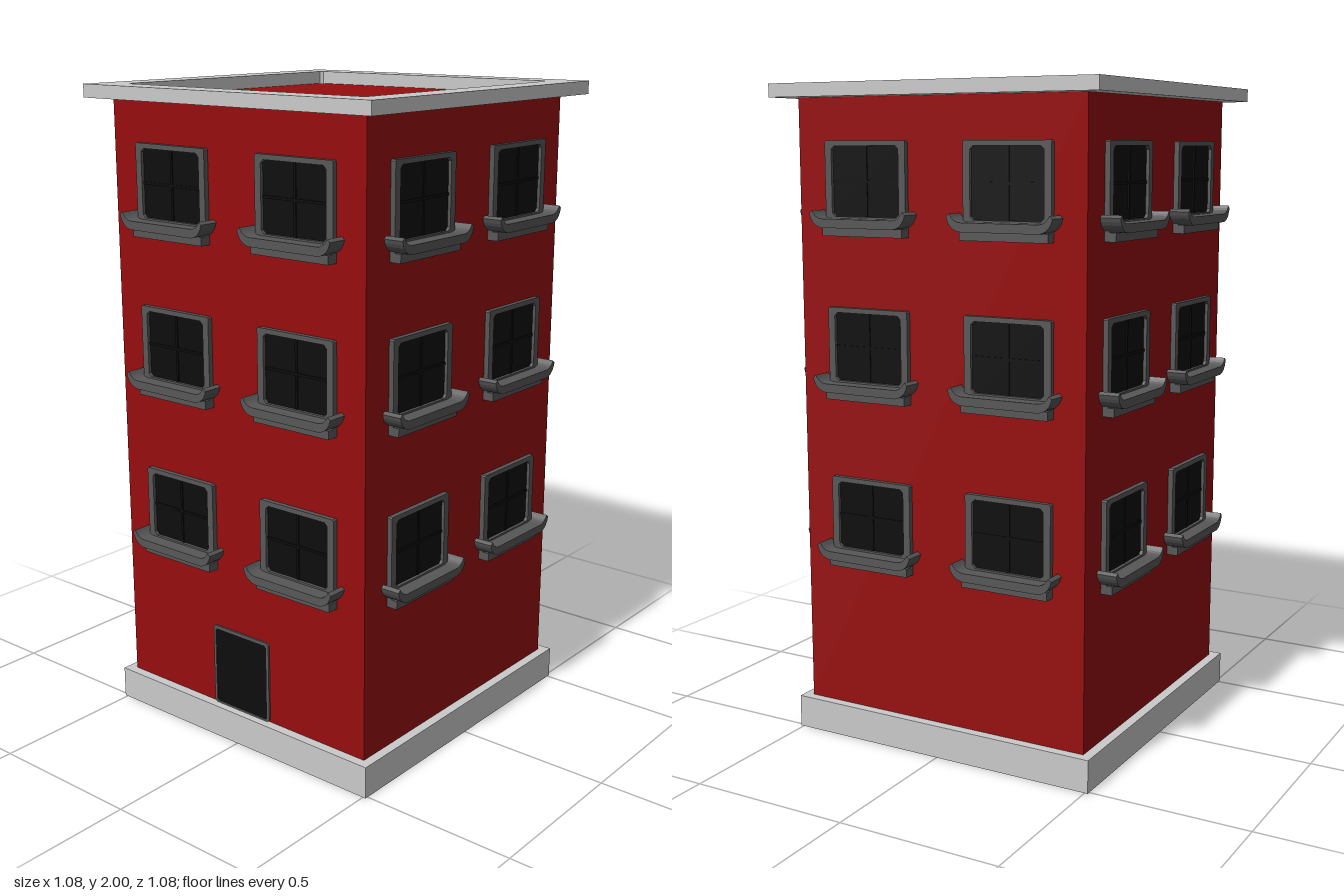
import * as THREE from 'three';

const mat = (name, color) => {
  const m = new THREE.MeshStandardMaterial({ color });
  m.name = name;
  return m;
};

// Rectangle outline with clipped corners, centred on (0, cy)
function clippedRect(Type, w, h, c, cy = 0) {
  const x = w / 2, t = cy + h / 2, b = cy - h / 2;
  return new Type([
    [-x + c, b], [x - c, b], [x, b + c], [x, t - c],
    [x - c, t], [-x + c, t], [-x, t - c], [-x, b + c],
  ].map(([px, py]) => new THREE.Vector2(px, py)));
}

const extrude = (shape, depth) =>
  new THREE.ExtrudeGeometry(shape, { depth, bevelEnabled: false, curveSegments: 6 });

export function createModel() {
  const brick = mat('brick red', 0x960d0e);
  const stone = mat('pale stone', 0xcacaca);
  const trim = mat('dark grey trim', 0x575757);
  const glass = mat('black glass', 0x0d0d0d);

  const model = new THREE.Group();
  model.name = 'apartmentBlock';

  const add = (parent, name, geometry, material, x = 0, y = 0, z = 0) => {
    const mesh = new THREE.Mesh(geometry, material);
    mesh.name = name;
    mesh.position.set(x, y, z);
    parent.add(mesh);
    return mesh;
  };
  const box = (w, h, d) => new THREE.BoxGeometry(w, h, d);

  // Plinth and walls; the top of the walls is the flat roof
  add(model, 'plinth', box(1.02, 0.1, 1.02), stone, 0, 0.05);
  add(model, 'walls', box(0.96, 1.86, 0.96), brick, 0, 1.03);

  // Overhanging parapet ring around the roof
  const ring = clippedRect(THREE.Shape, 1.084, 1.084, 0);
  ring.holes.push(clippedRect(THREE.Path, 0.904, 0.904, 0.008));
  add(model, 'parapet', extrude(ring, 0.04).rotateX(-Math.PI / 2), stone, 0, 1.96);

  // Window frame, origin at the centre of the opening on the wall face
  const frame = clippedRect(THREE.Shape, 0.281, 0.255, 0.004, -0.01);
  frame.holes.push(clippedRect(THREE.Path, 0.235, 0.205, 0.01));
  const frameGeo = extrude(frame, 0.016);

  // Sill with upturned ends
  const sill = new THREE.Shape();
  sill.moveTo(-0.125, -0.134);
  sill.lineTo(0.125, -0.134);
  sill.quadraticCurveTo(0.16, -0.128, 0.168, -0.092);
  sill.lineTo(0.158, -0.084);
  sill.quadraticCurveTo(0.146, -0.108, 0.12, -0.108);
  sill.lineTo(-0.12, -0.108);
  sill.quadraticCurveTo(-0.146, -0.108, -0.158, -0.084);
  sill.lineTo(-0.168, -0.092);
  sill.quadraticCurveTo(-0.16, -0.128, -0.125, -0.134);
  const sillGeo = extrude(sill, 0.062);

  const paneGeo = box(0.25, 0.22, 0.006);
  const ledgeGeo = box(0.281, 0.026, 0.036);
  const mullionGeo = box(0.008, 0.205, 0.004);
  const transomGeo = box(0.235, 0.008, 0.004);

  function makeWindow() {
    const g = new THREE.Group();
    g.name = 'window';
    add(g, 'windowFrame', frameGeo, trim);
    add(g, 'windowPane', paneGeo, glass, 0, 0, 0.003);
    add(g, 'mullion', mullionGeo, glass, 0, 0, 0.007);
    add(g, 'transom', transomGeo, glass, 0, 0, 0.007);
    add(g, 'sill', sillGeo, trim);
    add(g, 'sillLedge', ledgeGeo, trim, 0, -0.146, 0.018);
    return g;
  }

  // Two windows on each of three floors, repeated on all four sides
  ['front', 'left', 'back', 'right'].forEach((side, i) => {
    const face = new THREE.Group();
    face.name = side + 'Windows';
    face.rotation.y = i * Math.PI / 2;
    for (const y of [0.71, 1.228, 1.717]) {
      for (const x of [-0.236, 0.238]) {
        const w = makeWindow();
        w.position.set(x, y, 0.48);
        face.add(w);
      }
    }
    model.add(face);
  });

  // Front door: thin panel inside a slim surround
  const surround = clippedRect(THREE.Shape, 0.228, 0.263, 0.008);
  surround.holes.push(clippedRect(THREE.Path, 0.21, 0.247, 0.006, -0.002));
  add(model, 'doorSurround', extrude(surround, 0.006), trim, 0, 0.2315, 0.48);
  add(model, 'door', box(0.214, 0.25, 0.004), glass, 0, 0.2285, 0.482);

  return model;
}
